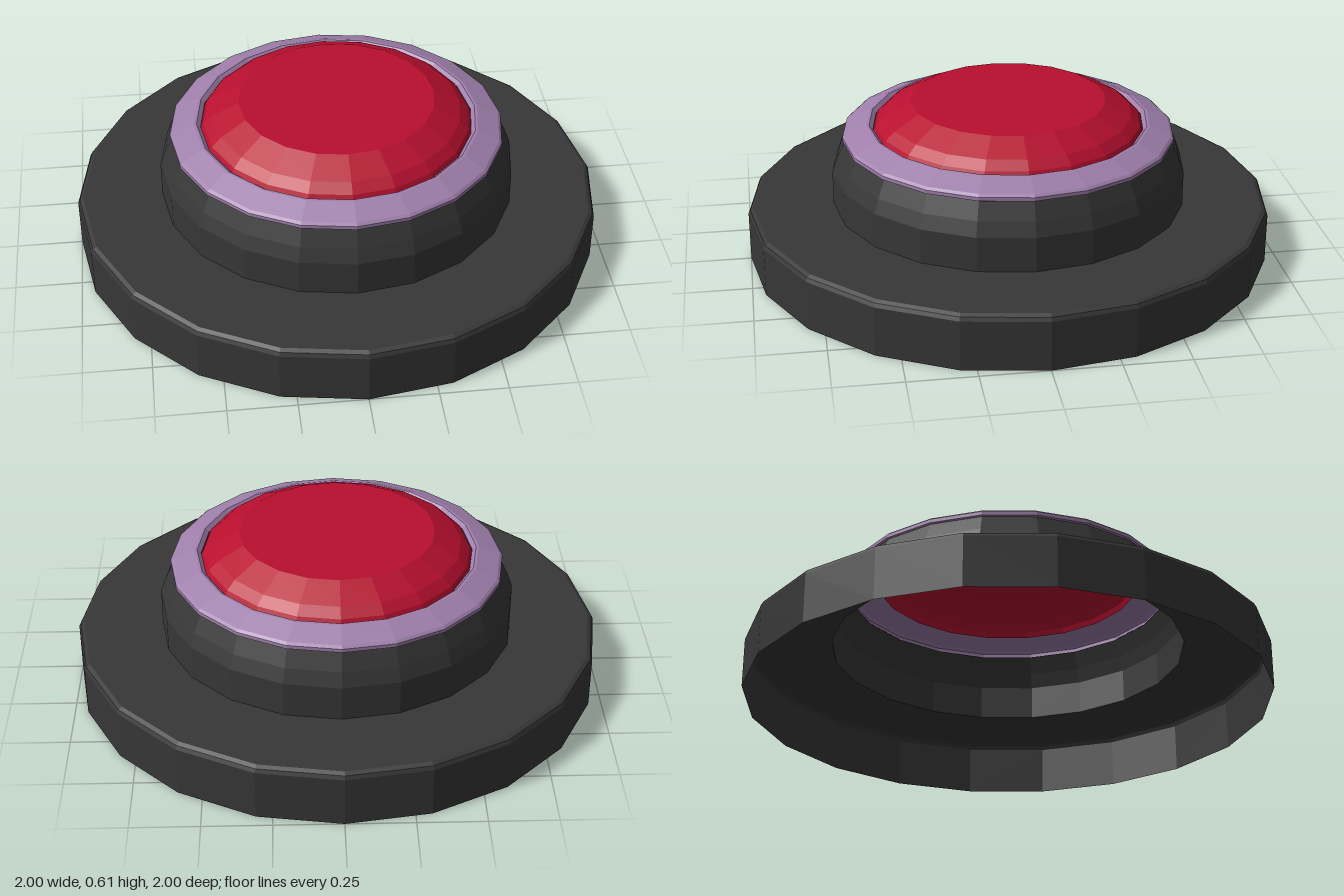
import * as THREE from 'three';

const SIDES = 20;

// Thin 20-sided shell turned from a [radius, height] profile, listed bottom to top
function shell(name, color, profile) {
  const points = profile.map(([r, y]) => new THREE.Vector2(r, y));
  const material = new THREE.MeshStandardMaterial({ color, flatShading: true, side: THREE.DoubleSide });
  const mesh = new THREE.Mesh(new THREE.LatheGeometry(points, SIDES), material);
  mesh.name = name;
  return mesh;
}

export function createModel() {
  const group = new THREE.Group();
  group.name = 'pushButton';

  // Wide base plate, open underneath, with a small bevel on its rim
  group.add(shell('basePlate', 0x373737, [
    [1, 0], [1, 0.19], [0.993, 0.204], [0.978, 0.212], [0.675, 0.212],
  ]));

  // Raised collar: straight wall, then tapering inward
  group.add(shell('collar', 0x373737, [
    [0.675, 0.212], [0.675, 0.345], [0.655, 0.4], [0.625, 0.465],
  ]));

  // Sloping trim ring with a rolled outer edge and a lip turned into the groove
  group.add(shell('trimRing', 0xa080ac, [
    [0.622, 0.463], [0.632, 0.468], [0.632, 0.482], [0.622, 0.491],
    [0.54, 0.524], [0.53, 0.524], [0.515, 0.51],
  ]));

  // Low domed cap with a flat top
  group.add(shell('buttonCap', 0xb80f2f, [
    [0.515, 0.505], [0.505, 0.525], [0.47, 0.556], [0.37, 0.606], [0, 0.606],
  ]));

  return group;
}
